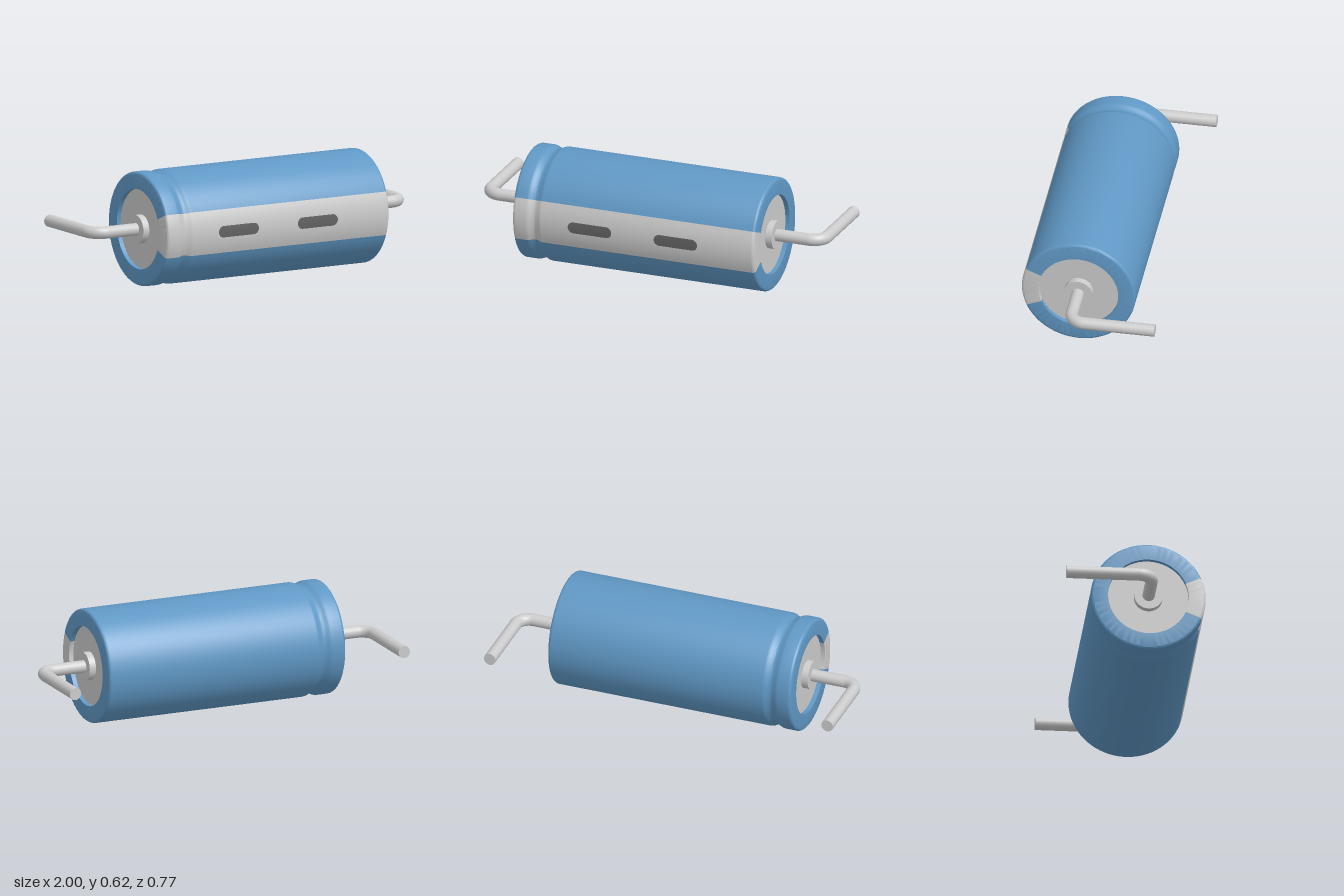
import * as THREE from 'three';
import { toCreasedNormals } from 'three/addons/utils/BufferGeometryUtils.js';

const R = 0.309;        // can radius
const HALF = 0.695;     // half the can length
const RIM = 0.217;      // inner radius of the sleeve's end opening
const RECESS = 0.025;   // depth of the end seals inside the sleeve
const AXIS_Y = 0.309, AXIS_Z = 0.077;
const STRIPE = Math.PI / 8; // half angle of the stripe

const grey = new THREE.MeshStandardMaterial({ color: 0xcccccc });
const blue = new THREE.MeshStandardMaterial({ color: 0x6098c5 });
const dark = new THREE.MeshStandardMaterial({ color: 0x626262 });

function add(parent, name, geometry, material) {
  const mesh = new THREE.Mesh(geometry, material);
  mesh.name = name;
  parent.add(mesh);
  return mesh;
}

// Sleeve outline: recessed lip, rounded edge, crimp groove, straight wall, rounded edge, lip
function sleeveProfile() {
  const pts = [];
  const p = (r, x) => pts.push(new THREE.Vector2(r, x));
  const c = 0.016;
  p(RIM, -HALF + RECESS);
  p(RIM, -HALF);
  for (let i = 0; i <= 6; i++) {
    const a = (i / 6) * Math.PI / 2;
    p(R - c + c * Math.sin(a), -HALF + c - c * Math.cos(a));
  }
  for (let i = 0; i <= 14; i++) {
    const t = i / 14;
    p(R - 0.0075 * (1 - Math.cos(t * Math.PI * 2)), -0.62 + 0.09 * t);
  }
  for (let i = 0; i <= 6; i++) {
    const a = (i / 6) * Math.PI / 2;
    p(R - c + c * Math.cos(a), HALF - c + c * Math.sin(a));
  }
  p(RIM, HALF);
  p(RIM, HALF - RECESS);
  return pts;
}

// Part of the sleeve between two angles; angle 0 faces the front
function sleeve(start, length, segments) {
  const g = new THREE.LatheGeometry(sleeveProfile(), segments, start, length);
  g.rotateZ(-Math.PI / 2);
  return toCreasedNormals(g, Math.PI / 5);
}

// Rounded dash wrapped on the can surface
function dash(centerX, length, height) {
  const g = new THREE.PlaneGeometry(2, 2, 1, 20);
  const pos = g.attributes.position;
  const h = height / 2, r = R + 0.001;
  for (let i = 0; i < pos.count; i++) {
    const a = pos.getY(i) * Math.PI / 2;
    const y = h * Math.sin(a);
    const halfWidth = length / 2 - h + h * Math.cos(a);
    pos.setXYZ(i, centerX + pos.getX(i) * halfWidth, y, Math.sqrt(r * r - y * y));
  }
  g.computeVertexNormals();
  return g;
}

// End seal, collar and bent wire on one side (s = +1 or -1)
function terminal(s) {
  const group = new THREE.Group();
  group.name = s > 0 ? 'leftTerminal' : 'rightTerminal';

  const seal = new THREE.CylinderGeometry(RIM, RIM, 0.01, 72);
  seal.rotateZ(Math.PI / 2);
  add(group, 'endSeal', seal, grey).position.x = s * (HALF - RECESS - 0.005);

  const collar = new THREE.CylinderGeometry(0.077, 0.077, 0.04, 48);
  collar.rotateZ(Math.PI / 2);
  add(group, 'collar', collar, grey).position.x = s * 0.687;

  const wire = 0.0335, endX = 1 - wire, bend = 0.075, k = bend * 0.448;
  const endZ = -0.387 - AXIS_Z;
  const v = (x, z) => new THREE.Vector3(s * x, 0, z);
  const path = new THREE.CurvePath();
  path.add(new THREE.LineCurve3(v(0.67, 0), v(endX - bend, 0)));
  path.add(new THREE.CubicBezierCurve3(
    v(endX - bend, 0), v(endX - k, 0), v(endX, -k), v(endX, -bend)));
  path.add(new THREE.LineCurve3(v(endX, -bend), v(endX, endZ)));
  add(group, 'leadWire', new THREE.TubeGeometry(path, 80, wire, 24), grey);

  const cap = add(group, 'leadTip', new THREE.CircleGeometry(wire, 24), grey);
  cap.rotation.y = Math.PI;
  cap.position.copy(v(endX, endZ));
  return group;
}

export function createModel() {
  const model = new THREE.Group();
  model.name = 'axialCapacitor';
  const body = new THREE.Group();
  body.name = 'body';
  body.position.set(0, AXIS_Y, AXIS_Z);
  model.add(body);

  // Coloured sleeve with the stripe along the front
  add(body, 'sleeve', sleeve(STRIPE, Math.PI * 2 - STRIPE * 2, 84), blue);
  add(body, 'stripe', sleeve(-STRIPE, STRIPE * 2, 12), grey);

  // Polarity dashes
  for (const x of [-0.25, 0.245]) add(body, 'polarityDash', dash(x, 0.25, 0.062), dark);

  // Leads at both ends
  for (const s of [1, -1]) body.add(terminal(s));

  return model;
}
